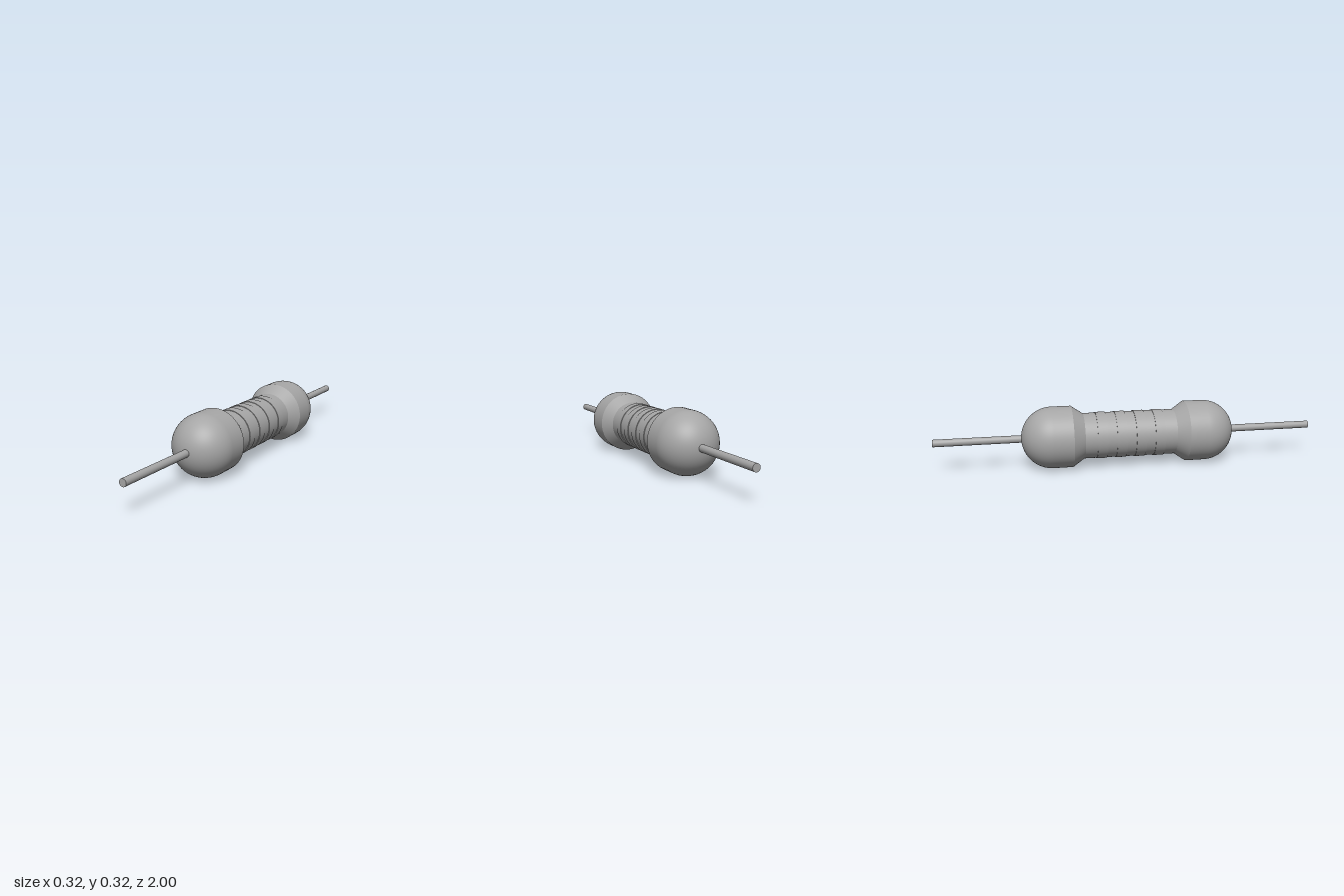
import * as THREE from 'three';

const SEGMENTS = 64;

export function createModel() {
  const model = new THREE.Group();
  model.name = 'resistor';
  const grey = new THREE.MeshStandardMaterial({ color: 0xa6a6a6 });
  grey.name = 'plain grey';

  // Revolves [radius, z] points (z increasing) about the z axis
  function turned(name, points, parent) {
    const geometry = new THREE.LatheGeometry(points.map(([r, z]) => new THREE.Vector2(r, z)), SEGMENTS);
    geometry.rotateX(Math.PI / 2);
    const mesh = new THREE.Mesh(geometry, grey);
    mesh.name = name;
    parent.add(mesh);
  }

  const axle = new THREE.Group();
  axle.name = 'body';
  axle.position.y = 0.161;
  model.add(axle);

  // Slim core
  turned('core', [[0.118, -0.25], [0.118, 0.25]], axle);

  // Slightly raised code bands, each with thin rims
  for (const z of [-0.15, -0.05, 0.05, 0.15]) {
    const a = z - 0.026, b = z + 0.026;
    turned('bandWall', [[0.121, a], [0.121, b]], axle);
    turned('bandBackRim', [[0.117, a], [0.121, a]], axle);
    turned('bandFrontRim', [[0.121, b], [0.117, b]], axle);
  }

  // Domed end caps with wire leads, the second turned to face the back
  for (const side of ['front', 'back']) {
    const end = new THREE.Group();
    end.name = side + 'End';
    if (side === 'back') end.rotation.y = Math.PI;
    axle.add(end);

    turned('capShoulder', [[0.117, 0.238], [0.159, 0.3]], end);
    const dome = [[0.159, 0.3]];
    for (let i = 0; i <= 20; i++) {
      const t = (i / 20) * Math.PI / 2;
      dome.push([0.159 * Math.cos(t), 0.4 + 0.159 * Math.sin(t)]);
    }
    turned('cap', dome, end);

    const wire = new THREE.CylinderGeometry(0.019, 0.019, 0.46, 24);
    wire.rotateX(Math.PI / 2);
    const lead = new THREE.Mesh(wire, grey);
    lead.name = 'wireLead';
    lead.position.z = 0.77;
    end.add(lead);
  }
  return model;
}
